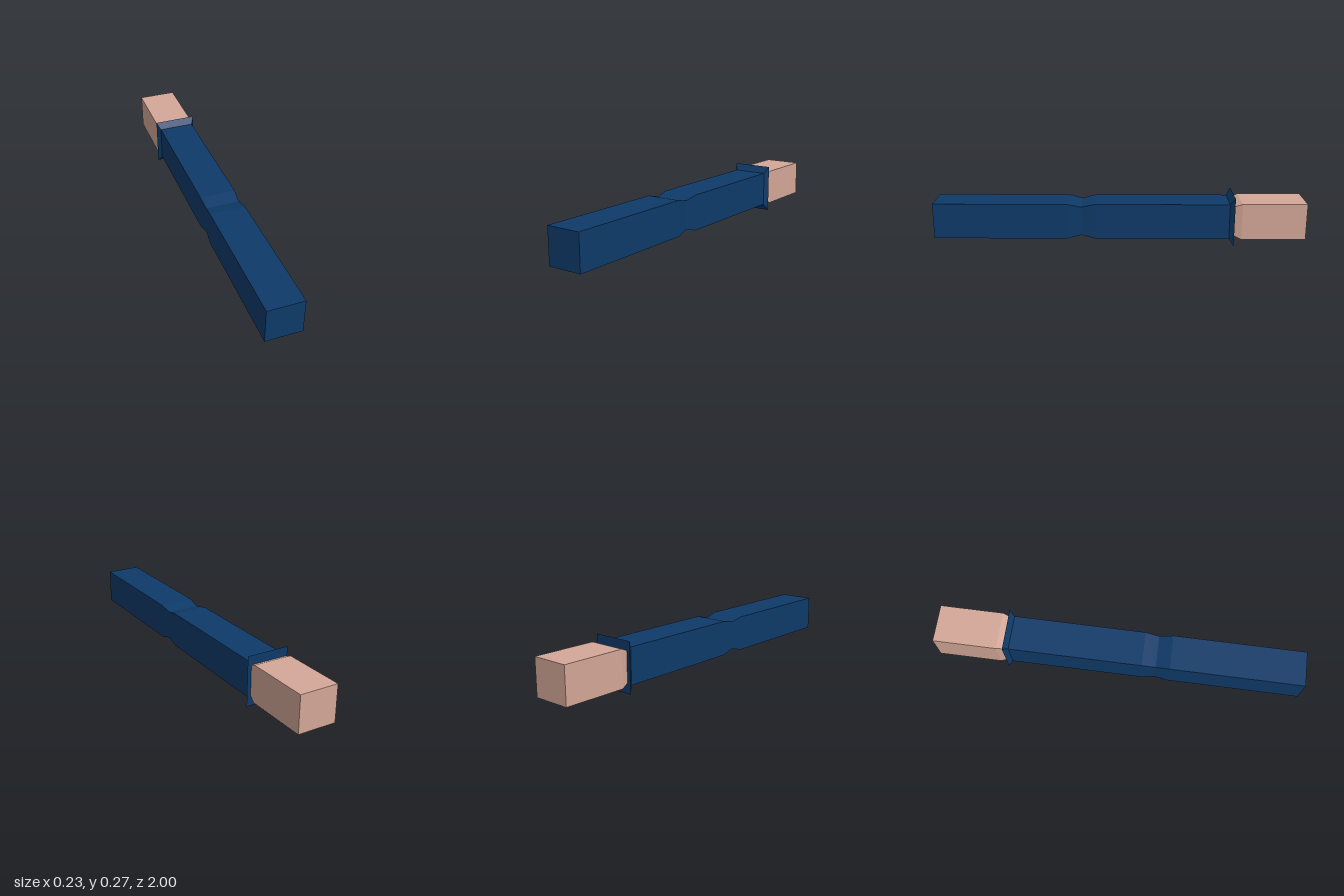
import * as THREE from 'three';

// Square-section solid lofted through rings [z, half width, bottom, top], ordered front to back
function loft(rings) {
  const pos = [], idx = [];
  for (const [z, w, y0, y1] of rings) pos.push(-w, y0, z, w, y0, z, w, y1, z, -w, y1, z);
  for (let i = 0; i < rings.length - 1; i++) {
    for (let j = 0; j < 4; j++) {
      const a = i * 4 + j, b = i * 4 + (j + 1) % 4;
      idx.push(a, a + 4, b, b, a + 4, b + 4);
    }
  }
  const n = (rings.length - 1) * 4;
  idx.push(0, 1, 2, 0, 2, 3, n, n + 2, n + 1, n, n + 3, n + 2); // end caps
  const g = new THREE.BufferGeometry();
  g.setAttribute('position', new THREE.Float32BufferAttribute(pos, 3));
  g.setIndex(idx);
  const flat = g.toNonIndexed();
  flat.computeVertexNormals();
  return flat;
}

export function createModel() {
  const navy = new THREE.MeshStandardMaterial({ color: 0x0e3a69 });
  navy.name = 'navy cloth';
  const skin = new THREE.MeshStandardMaterial({ color: 0xd3a797 });
  skin.name = 'skin';

  const group = new THREE.Group();
  group.name = 'arm';
  const add = (name, rings, material) => {
    const mesh = new THREE.Mesh(loft(rings), material);
    mesh.name = name;
    group.add(mesh);
  };

  // Sleeve, pinched at the elbow
  add('sleeve', [
    [1, 0.096, 0.037, 0.229],
    [0.28, 0.096, 0.037, 0.229],
    [0.205, 0.09, 0.056, 0.212],
    [0.13, 0.096, 0.037, 0.229],
    [-0.59, 0.096, 0.037, 0.229],
  ], navy);

  // Flared cuff
  add('cuff', [
    [-0.59, 0.096, 0.037, 0.229],
    [-0.615, 0.115, 0, 0.266],
  ], navy);

  // Blocky hand, tapered at the wrist
  add('hand', [
    [-0.61, 0.093, 0.056, 0.215],
    [-0.655, 0.104, 0.037, 0.234],
    [-1, 0.104, 0.037, 0.234],
  ], skin);

  return group;
}
